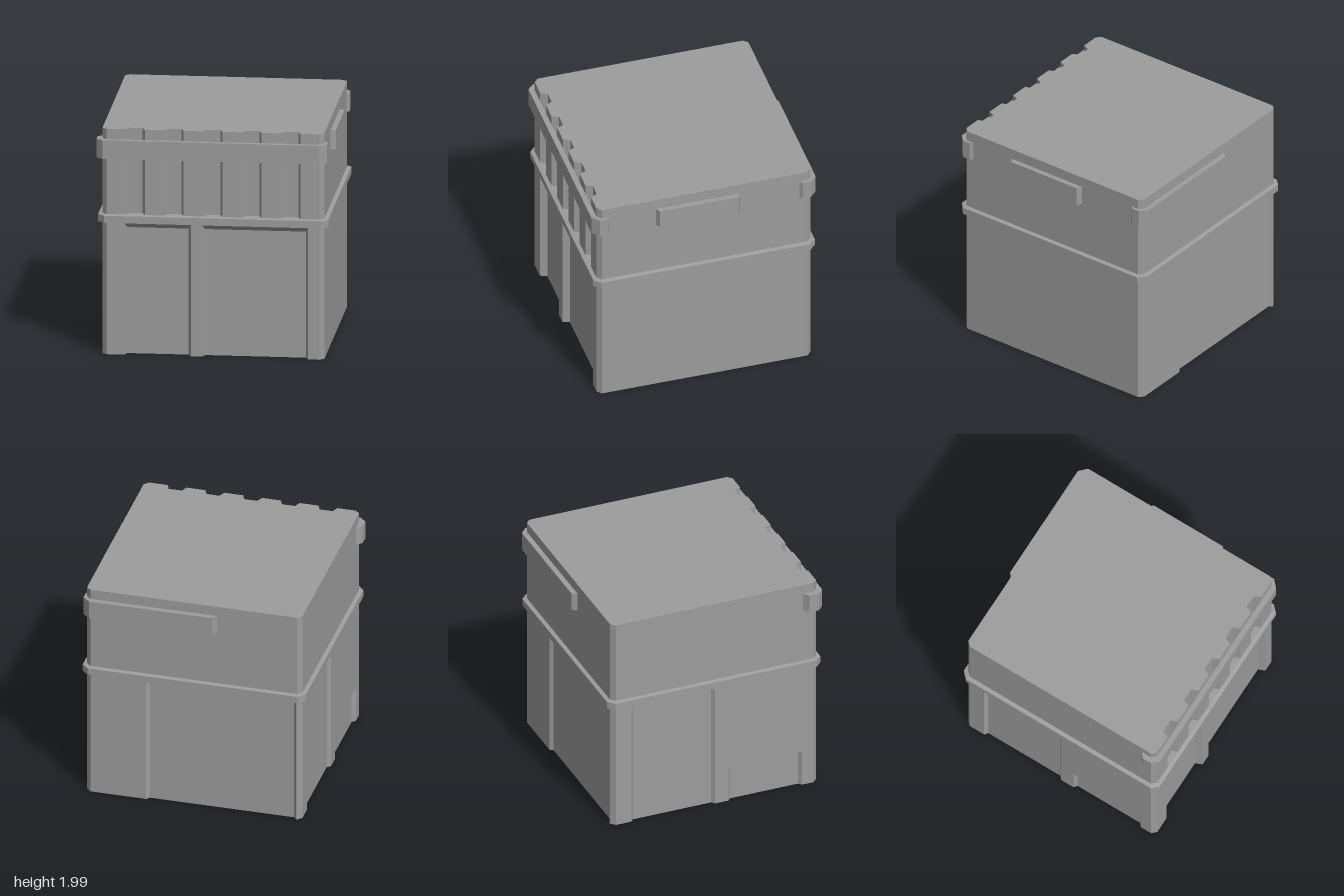
import * as THREE from 'three';

const H = 0.953, C = 0.038, EDGE = H - C; // half width, corner chamfer, end of the flat wall
const DEPTH = 0.06, SLOPE = 0.025;
const BELT0 = 1.16, BELT1 = 1.235, TOP = 1.985;

const mat = new THREE.MeshStandardMaterial({ color: 0x9c9c9c, flatShading: true, side: THREE.DoubleSide });

function named(name, geo) {
  const m = new THREE.Mesh(geo, mat);
  m.name = name;
  return m;
}

// Collects quads, corners counter-clockwise seen from outside
function quadMesh(name, quads) {
  const pos = quads.flatMap(([a, b, c, d]) => [a, b, c, a, c, d].flat());
  const geo = new THREE.BufferGeometry();
  geo.setAttribute('position', new THREE.Float32BufferAttribute(pos, 3));
  geo.computeVertexNormals();
  return named(name, geo);
}

// Wall facing +z with its right-hand chamfered corner; each recess is
// { u0, u1, top, lip, depth, floor }, starting at the foot of the wall
function wall(name, y0, y1, angle, recesses = []) {
  const quads = [];
  const flat = (a, b, lo, hi, z = H) =>
    quads.push([[a, lo, z], [b, lo, z], [b, hi, z], [a, hi, z]]);
  let u = -EDGE;
  for (const { u0, u1, top, lip = 0, depth = DEPTH, floor = false } of recesses) {
    flat(u, u0, y0, y1);
    if (top < y1) flat(u0, u1, top, y1);
    const a = u0 + SLOPE, b = u1 - SLOPE, z = H - depth, t = top - lip;
    flat(a, b, y0, t, z);
    quads.push([[u0, y0, H], [a, y0, z], [a, t, z], [u0, top, H]]);
    quads.push([[b, y0, z], [u1, y0, H], [u1, top, H], [b, t, z]]);
    if (lip || top < y1) quads.push([[a, t, z], [b, t, z], [u1, top, H], [u0, top, H]]);
    if (floor) quads.push([[u0, y0, H], [u1, y0, H], [b, y0, z], [a, y0, z]]);
    u = u1;
  }
  flat(u, EDGE, y0, y1);
  quads.push([[EDGE, y0, H], [H, y0, EDGE], [H, y1, EDGE], [EDGE, y1, H]]);
  const m = quadMesh(name, quads);
  m.rotation.y = angle;
  return m;
}

// Square with chamfered corners, counter-clockwise seen from above, as [x, y, z]
function octagon(h, c, y) {
  const e = h - c;
  return [[e, h], [h, e], [h, -e], [e, -h], [-e, -h], [-h, -e], [-h, e], [-e, h]].map(([x, z]) => [x, y, z]);
}

// Hollow belt made from stacked rings
function belt() {
  const rings = [[H, C, BELT0], [0.988, 0.057, BELT0 + 0.005], [0.988, 0.057, BELT1 - 0.007], [H, C, BELT1]]
    .map((r) => octagon(...r));
  const quads = [];
  for (let i = 0; i < 3; i++)
    for (let j = 0; j < 8; j++) {
      const k = (j + 1) % 8;
      quads.push([rings[i][j], rings[i][k], rings[i + 1][k], rings[i + 1][j]]);
    }
  return quadMesh('belt', quads);
}

// Outline in plan [x, z] as a shape that lies flat after turning by -90 degrees about x
const plan = (pts) => new THREE.Shape(pts.map(([x, z]) => new THREE.Vector2(x, -z)));

// Solid band with a plan outline
function band(name, pts, y0 = 1.73, y1 = 1.895) {
  const geo = new THREE.ExtrudeGeometry(plan(pts), { depth: y1 - y0, bevelEnabled: false });
  geo.rotateX(-Math.PI / 2).translate(0, y0, 0);
  return named(name, geo);
}

export function createModel() {
  const model = new THREE.Group();
  const q = Math.PI / 2;

  // Lower storey, open underneath
  model.add(
    wall('lowerFrontWall', 0, BELT0, 0, [
      { u0: -0.765, u1: -0.19, top: BELT0, lip: 0.05 },
      { u0: -0.097, u1: 0.817, top: BELT0, lip: 0.05 },
    ]),
    wall('lowerLeftWall', 0, BELT0, q),
    wall('lowerBackWall', 0, BELT0, 2 * q, [
      { u0: -0.42, u1: 0.905, top: BELT0, lip: 0.025, depth: 0.03 },
    ]),
    wall('lowerRightWall', 0, BELT0, -q, [
      { u0: -0.77, u1: 0.005, top: BELT0, lip: 0.025, depth: 0.03 },
      { u0: 0.13, u1: 0.81, top: 0.33, depth: 0.03 },
    ]),
    belt(),
  );

  // Upper storey with a fluted front
  const flutes = [-2, -1, 0, 1, 2].map((i) => ({
    u0: i * 0.334 - 0.083, u1: i * 0.334 + 0.083, top: TOP, floor: true,
  }));
  model.add(
    wall('upperFrontWall', BELT1, TOP, 0, flutes),
    wall('upperLeftWall', BELT1, TOP, q),
    wall('upperBackWall', BELT1, TOP, 2 * q),
    wall('upperRightWall', BELT1, TOP, -q),
  );

  // Roof, notched by the flutes
  const outline = octagon(H, C, 0).map(([x, , z]) => [x, z]);
  for (const { u0, u1 } of flutes)
    outline.push([u0, H], [u0 + SLOPE, H - DEPTH], [u1 - SLOPE, H - DEPTH], [u1, H]);
  const roof = new THREE.ShapeGeometry(plan(outline));
  roof.rotateX(-q).translate(0, TOP, 0);
  model.add(named('roof', roof));

  // Sign bands
  model.add(
    band('frontBand', [
      [-H, 0.82], [-1, 0.86], [-1, 0.945], [-0.945, 1], [0.915, 1], [0.978, 0.94],
      [0.978, 0.87], [H, 0.845], [H, EDGE], [EDGE, H], [-EDGE, H], [-H, EDGE],
    ]),
    band('backBand', [
      [-0.205, -H], [-0.175, -1], [0.915, -1], [0.978, -0.94], [0.978, -0.87], [H, -0.845],
      [H, -EDGE], [EDGE, -H],
    ]),
    band('sideBand', [[H, 0.435], [0.998, 0.41], [0.998, -0.29], [H, -0.315]], 1.72, 1.89),
  );
  return model;
}
